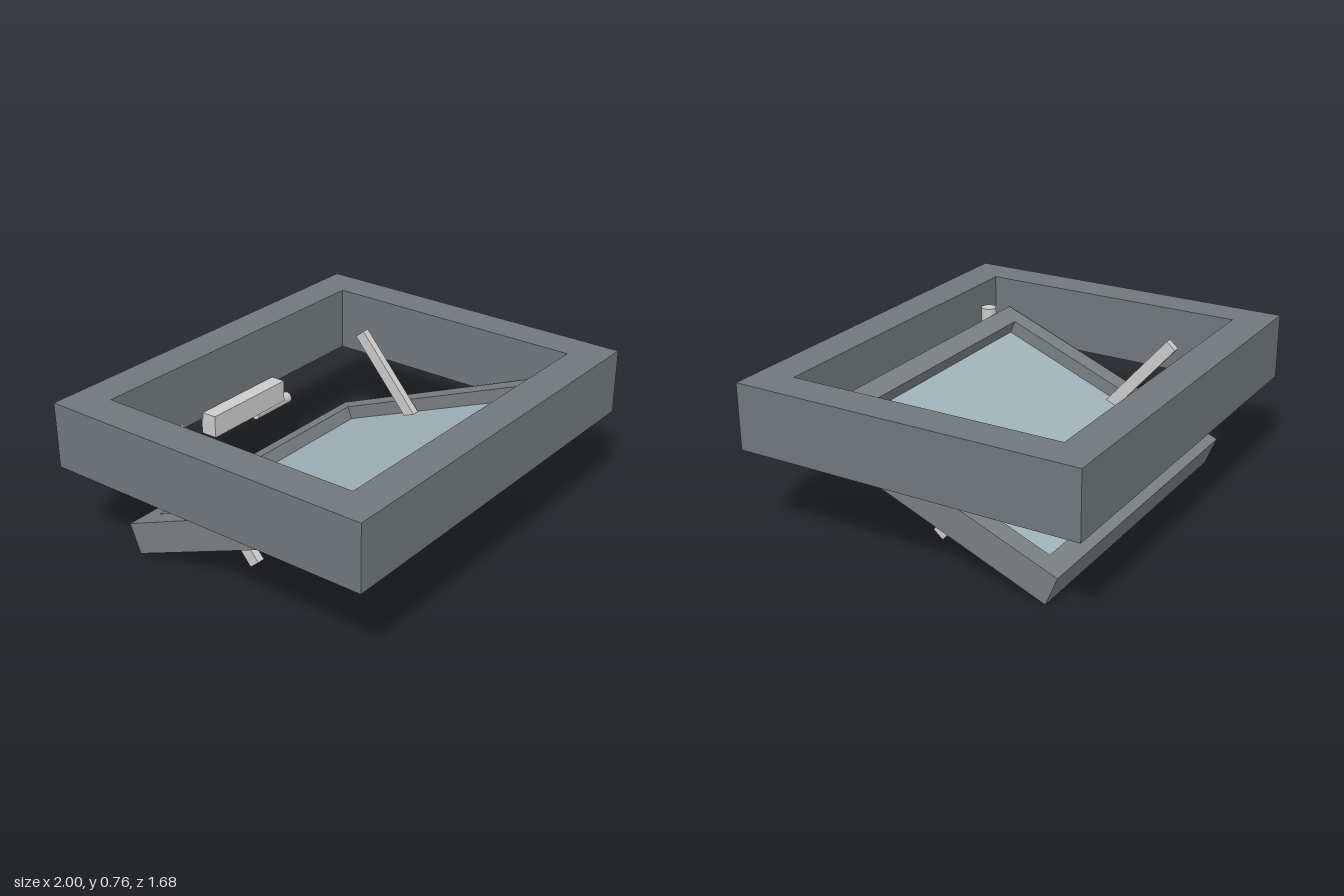
import * as THREE from 'three';

const mat = (color) => new THREE.MeshStandardMaterial({ color });
const frameMat = mat(0x70777b), sashMat = mat(0x7a7f82), sealMat = mat(0x55595b);
const glassMat = mat(0xa0b4ba), metalMat = mat(0xcccccc);

function add(parent, name, geometry, material, x = 0, y = 0, z = 0) {
  const mesh = new THREE.Mesh(geometry, material);
  mesh.name = name;
  mesh.position.set(x, y, z);
  parent.add(mesh);
  return mesh;
}

// Rectangular ring lying flat, given half sizes, rising from y = 0 to height
function ring(ox, oz, ix, iz, height) {
  const rect = (Type, x, z) => new Type([[-x, -z], [x, -z], [x, z], [-x, z]].map((p) => new THREE.Vector2(...p)));
  const shape = rect(THREE.Shape, ox, oz);
  shape.holes.push(rect(THREE.Path, ix, iz));
  return new THREE.ExtrudeGeometry(shape, { depth: height, bevelEnabled: false }).rotateX(-Math.PI / 2);
}

export function createModel() {
  const model = new THREE.Group();
  model.name = 'roofWindow';

  // Fixed outer frame with a thin seal under it
  add(model, 'outerFrame', ring(1, 0.838, 0.825, 0.665, 0.315), frameMat, 0, 0.45, 0);
  add(model, 'frameSeal', ring(0.98, 0.8, 0.968, 0.788, 0.01), metalMat, 0, 0.441, 0);

  // Tilted sash: rim, glass pane and lower seal
  const sash = new THREE.Group();
  sash.name = 'sash';
  sash.position.set(0, 0.243, 0.026);
  sash.rotation.x = -THREE.MathUtils.degToRad(22);
  model.add(sash);
  add(sash, 'sashFrame', ring(0.805, 0.647, 0.705, 0.547, 0.15), sashMat);
  add(sash, 'glassPane', new THREE.BoxGeometry(1.41, 0.025, 1.094), glassMat, 0, 0.071, 0);
  add(sash, 'sashSeal', ring(0.73, 0.572, 0.705, 0.547, 0.025), sealMat, 0, -0.025, 0);

  // Support stays and hinge pins on both sides
  for (const side of [-1, 1]) {
    const stay = add(model, 'supportStay', new THREE.BoxGeometry(0.038, 0.69, 0.06), metalMat, side * 0.677, 0.377, -0.2);
    stay.rotation.x = -0.712;
    add(model, 'hingePin', new THREE.CylinderGeometry(0.038, 0.038, 0.12, 24), metalMat, side * 0.672, 0.592, 0.613);
  }

  // Opening motor on the back rail
  add(model, 'motorHousing', new THREE.BoxGeometry(0.508, 0.11, 0.085), metalMat, -0.002, 0.425, -0.632);
  const shaft = add(model, 'motorShaft', new THREE.CylinderGeometry(0.028, 0.028, 0.25, 24), metalMat, 0.2, 0.352, -0.632);
  shaft.rotation.z = Math.PI / 2;

  return model;
}
